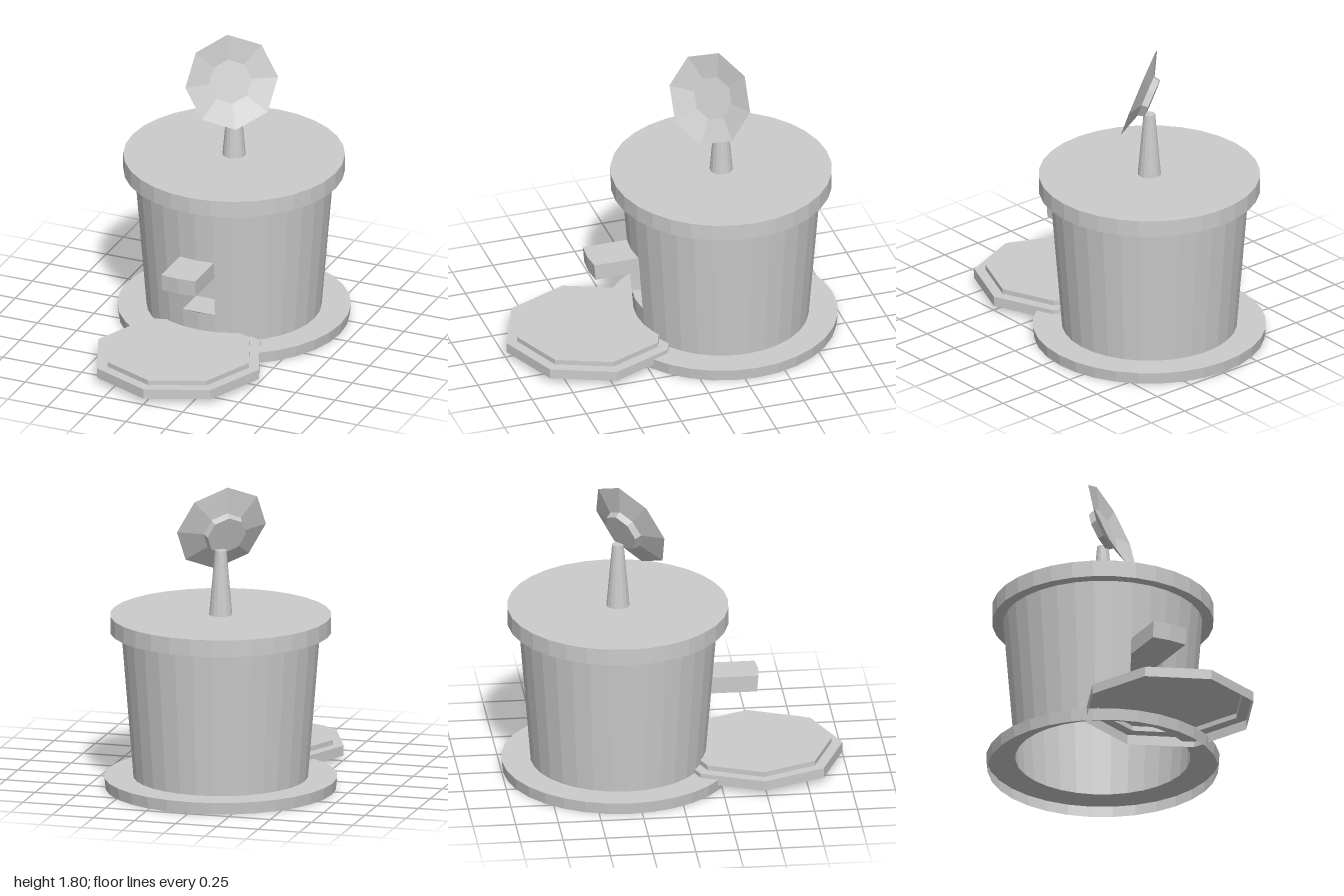
import * as THREE from 'three';

const mat = new THREE.MeshStandardMaterial({ color: 0xcccccc, flatShading: true, side: THREE.DoubleSide });
const POT_Z = -0.32;   // axis of the pot
const STEP = Math.PI / 16; // one of 32 sides
const wallRadius = y => 0.51 + (y - 0.07) * 0.081;

function add(parent, name, geometry, x = 0, y = 0, z = 0) {
  const mesh = new THREE.Mesh(geometry, mat);
  mesh.name = name;
  mesh.position.set(x, y, z);
  parent.add(mesh);
  return mesh;
}

function lathe(points, sides, start = 0, length = Math.PI * 2) {
  return new THREE.LatheGeometry(points.map(p => new THREE.Vector2(...p)), sides, start, length);
}

const wall = y => [wallRadius(y), y];

export function createModel() {
  const model = new THREE.Group();
  model.name = 'potWithDish';

  // Tapered pot, open underneath, with a two-sided gap for the recess
  const pot = new THREE.Group();
  pot.name = 'pot';
  pot.position.z = POT_Z;
  model.add(pot);
  add(pot, 'baseFlange', lathe([[0.672, 0], [0.68, 0.07], wall(0.07)], 32));
  add(pot, 'lowerWall', lathe([wall(0.07), wall(0.24)], 32));
  add(pot, 'middleWall', lathe([wall(0.24), wall(0.49)], 30, STEP, Math.PI * 2 - 2 * STEP));
  add(pot, 'upperWall', lathe([wall(0.49), wall(0.935)], 32));
  add(pot, 'lid', lathe([wall(0.935), [0.645, 0.935], [0.645, 1.035], [0, 1.035]], 32));

  // Spout block, following the wall's facets at its outer end
  const outline = new THREE.Shape();
  outline.moveTo(-0.108, -0.2);
  outline.lineTo(0.108, -0.2);
  outline.lineTo(0.108, -0.483);
  outline.lineTo(0, -0.493);
  outline.lineTo(-0.108, -0.483);
  const spout = new THREE.ExtrudeGeometry(outline, { depth: 0.1, bevelEnabled: false });
  spout.rotateX(-Math.PI / 2);
  const sp = spout.attributes.position;
  for (let i = 0; i < sp.count; i++) {
    // lean outward with the wall
    if (sp.getY(i) > 0.05) sp.setZ(i, sp.getZ(i) + 0.008);
  }
  add(model, 'spout', spout, 0, 0.49, 0);

  // Recess below the spout: a box without its front, fitted to the wall
  const recess = new THREE.BoxGeometry(0.21, 0.25, 0.2);
  const idx = Array.from(recess.index.array);
  idx.splice(24, 6);
  recess.setIndex(idx);
  recess.clearGroups();
  const rp = recess.attributes.position;
  for (let i = 0; i < rp.count; i++) {
    const y = rp.getY(i) + 0.365;
    const r = wallRadius(y);
    const z = rp.getZ(i) > 0 ? POT_Z + r * Math.cos(STEP) : 0;
    rp.setXYZ(i, Math.sign(rp.getX(i)) * r * Math.sin(STEP), y, z);
  }
  add(model, 'recess', recess);

  // Eight-sided stepped tray, hollow underneath
  add(model, 'tray', lathe([
    [0.51, 0.035], [0.51, 0.095], [0.445, 0.095], [0.445, 0.125], [0, 0.125],
  ], 8), 0, 0, 0.485);

  // Tapered post
  add(model, 'post', new THREE.CylinderGeometry(0.034, 0.068, 0.385, 16), 0, 1.2275, POT_Z);

  // Shallow dish with a hub on its back, turned and tilted
  const dish = add(model, 'dish', lathe([
    [0, -0.085], [0.12, -0.085], [0.13, -0.046], [0.28, 0], [0.13, -0.036], [0, -0.036],
  ], 8), 0.0175, 1.533, -0.245);
  const normal = new THREE.Vector3(0.589, 0.338, 0.732).normalize();
  const side = new THREE.Vector3(-0.779, 0, 0.627).normalize();
  const up = new THREE.Vector3().crossVectors(side, normal).normalize();
  side.crossVectors(normal, up);
  dish.quaternion.setFromRotationMatrix(new THREE.Matrix4().makeBasis(side, normal, up));

  return model;
}
